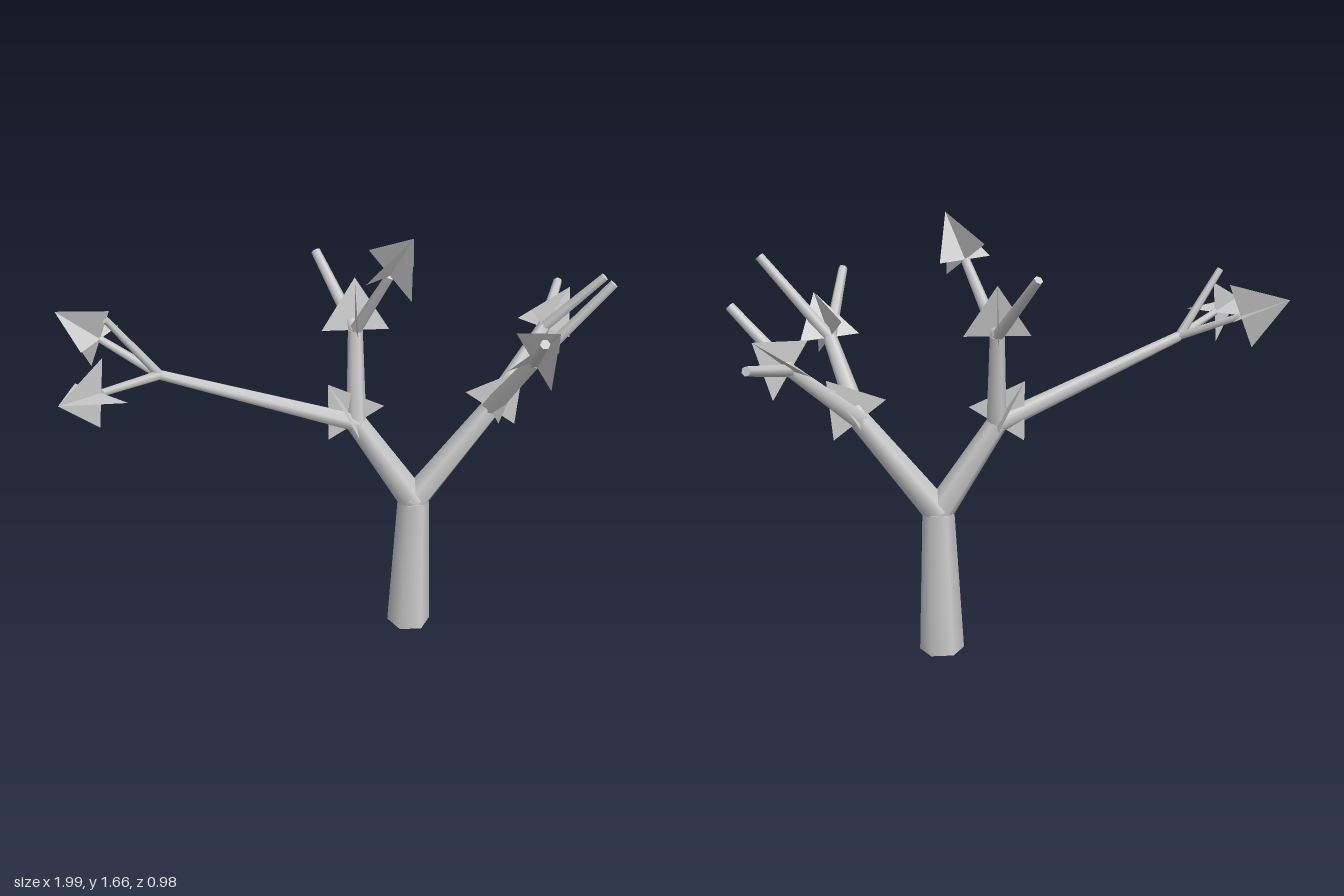
import * as THREE from 'three';

const UP = new THREE.Vector3(0, 1, 0);

// Joints of the tree: [x, y, z]
const P = {
  base: [0.275, 0, 0], crotch: [0.28, 0.56, 0],
  rightFork: [0.06, 0.9, 0], leftFork: [0.56, 0.93, -0.02],
  longFork: [-0.635, 1.19, 0.135], middleFork: [0.06, 1.245, -0.065],
  frontFork: [0.668, 1.2, 0.158], backFork: [0.782, 1.167, -0.205],
  longTipA: [-0.795, 1.43, 0.2], longTipB: [-0.815, 1.235, 0.348], longTipC: [-0.84, 1.285, 0.03],
  middleTipA: [0.167, 1.5, 0.06], middleTipB: [-0.07, 1.48, -0.255],
  frontTipA: [0.915, 1.5, 0.19], frontTipB: [0.628, 1.407, 0.455],
  backTipA: [0.895, 1.237, -0.485], backTipB: [0.983, 1.385, -0.153],
};

// Branches: name, from, to, start radius, end radius, leaf at the end
const BRANCHES = [
  ['trunk', 'base', 'crotch', 0.085, 0.06, false],
  ['rightLimb', 'crotch', 'rightFork', 0.056, 0.04, true],
  ['leftLimb', 'crotch', 'leftFork', 0.056, 0.04, true],
  ['longBranch', 'rightFork', 'longFork', 0.036, 0.019, false],
  ['middleBranch', 'rightFork', 'middleFork', 0.037, 0.027, true],
  ['frontBranch', 'leftFork', 'frontFork', 0.037, 0.026, true],
  ['backBranch', 'leftFork', 'backFork', 0.037, 0.026, true],
  ['longTwigA', 'longFork', 'longTipA', 0.017, 0.013, false],
  ['longTwigB', 'longFork', 'longTipB', 0.017, 0.013, true],
  ['longTwigC', 'longFork', 'longTipC', 0.017, 0.013, true],
  ['middleTwigA', 'middleFork', 'middleTipA', 0.024, 0.017, true],
  ['middleTwigB', 'middleFork', 'middleTipB', 0.024, 0.017, false],
  ['frontTwigA', 'frontFork', 'frontTipA', 0.023, 0.017, false],
  ['frontTwigB', 'frontFork', 'frontTipB', 0.023, 0.017, false],
  ['backTwigA', 'backFork', 'backTipA', 0.023, 0.017, false],
  ['backTwigB', 'backFork', 'backTipB', 0.023, 0.017, false],
];

// Tapered six-sided branch between two points
function makeBranch(a, b, r0, r1, material) {
  const dir = b.clone().sub(a);
  const geo = new THREE.CylinderGeometry(r1, r0, dir.length(), 6, 1);
  geo.rotateY(Math.PI / 2);
  const mesh = new THREE.Mesh(geo, material);
  mesh.quaternion.setFromUnitVectors(UP, dir.normalize());
  mesh.position.copy(a).add(b).multiplyScalar(0.5);
  return mesh;
}

// Leaf: two crossed triangles pointing along the branch
function makeLeaf(center, dir, material) {
  const half = 0.122, length = 0.192;
  const side = dir.clone().cross(UP).normalize();
  const lift = side.clone().cross(dir).normalize();
  const apex = center.clone().addScaledVector(dir, length);
  const points = [];
  for (const axis of [side, lift]) {
    points.push(center.clone().addScaledVector(axis, -half),
      center.clone().addScaledVector(axis, half), apex);
  }
  const geo = new THREE.BufferGeometry().setFromPoints(points);
  geo.computeVertexNormals();
  return new THREE.Mesh(geo, material);
}

export function createModel() {
  const group = new THREE.Group();
  group.name = 'tree';
  const bark = new THREE.MeshStandardMaterial({ color: 0xcccccc });
  bark.name = 'lightGrey';
  bark.side = THREE.DoubleSide;

  for (const [name, from, to, r0, r1, hasLeaf] of BRANCHES) {
    const a = new THREE.Vector3(...P[from]), b = new THREE.Vector3(...P[to]);
    const branch = makeBranch(a, b, r0, r1, bark);
    branch.name = name;
    group.add(branch);
    if (hasLeaf) {
      const leaf = makeLeaf(b, b.clone().sub(a).normalize(), bark);
      leaf.name = name + 'Leaf';
      group.add(leaf);
    }
  }
  return group;
}
